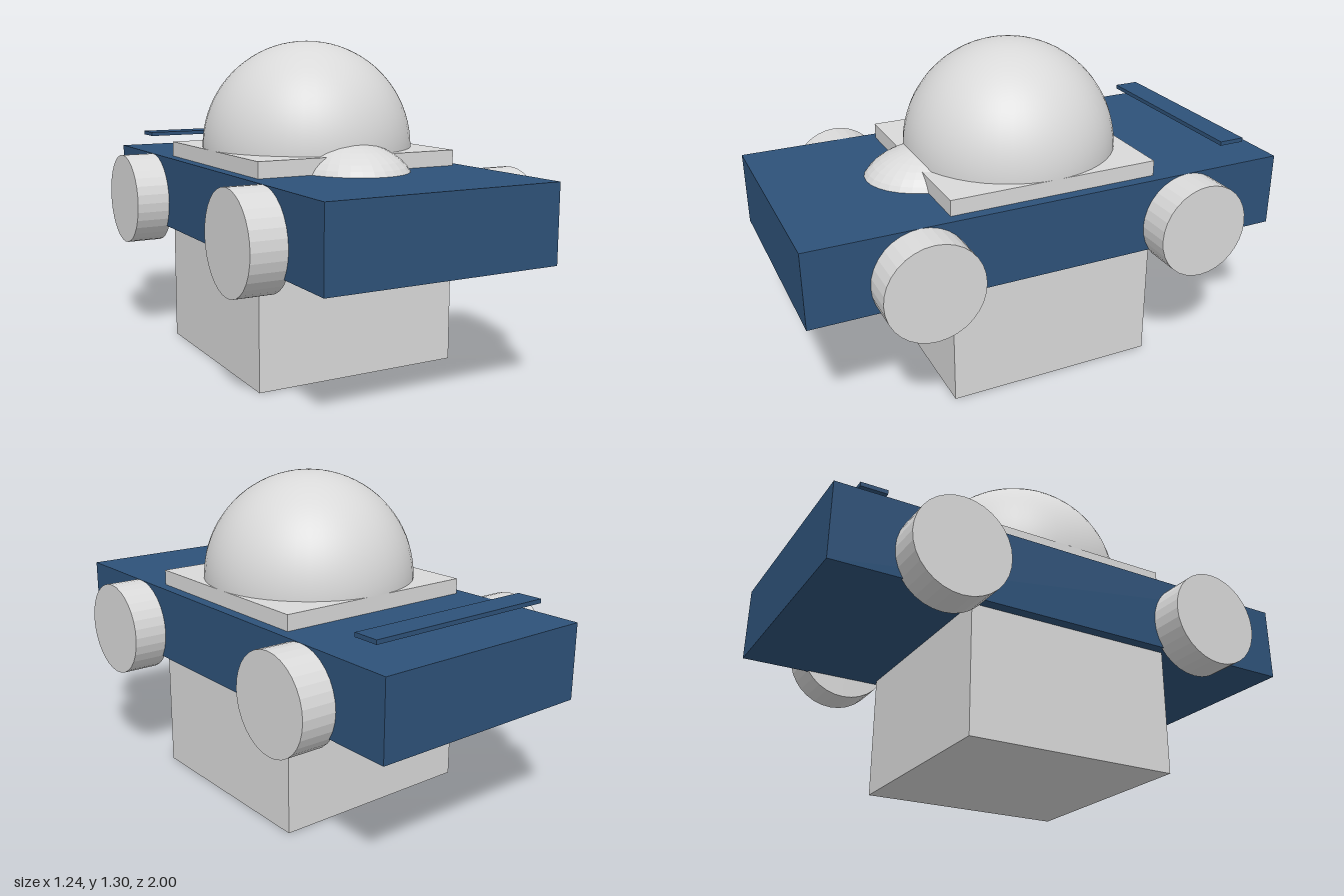
import * as THREE from 'three';

export function createModel() {
  const model = new THREE.Group();
  model.name = 'domedBuggy';

  const grey = new THREE.MeshStandardMaterial({ color: 0xd9d9d9 });
  grey.name = 'lightGrey';
  const navy = new THREE.MeshStandardMaterial({ color: 0x2e5279 });
  navy.name = 'navyBlue';

  const add = (name, geometry, material, x, y, z) => {
    const mesh = new THREE.Mesh(geometry, material);
    mesh.name = name;
    mesh.position.set(x, y, z);
    model.add(mesh);
    return mesh;
  };

  // Faceted copy of a geometry
  const faceted = (geometry) => {
    const g = geometry.toNonIndexed();
    g.computeVertexNormals();
    return g;
  };

  // Long flat hull
  add('hull', new THREE.BoxGeometry(0.956, 0.304, 2), navy, 0, 0.653, 0);

  // Cube core that passes through the hull, with a dome on top
  add('core', new THREE.BoxGeometry(0.866, 0.868, 0.866), grey, 0, 0.434, 0);
  add('dome', new THREE.SphereGeometry(0.434, 48, 20, 0, Math.PI * 2, 0, Math.PI / 2),
    grey, 0, 0.868, -0.002);

  // Low bulge in front of the dome
  const bulge = new THREE.SphereGeometry(1, 32, 20).scale(0.24, 0.165, 0.29);
  add('frontBulge', faceted(bulge), grey, 0, 0.75, 0.34);

  // Thin wing hovering over the tail
  add('rearWing', new THREE.BoxGeometry(0.82, 0.017, 0.108), navy, 0, 0.873, -0.826);

  // Four wheels
  const wheel = faceted(new THREE.CylinderGeometry(0.194, 0.194, 0.15, 32).rotateZ(Math.PI / 2));
  for (const [side, sx] of [['left', 1], ['right', -1]]) {
    for (const [end, sz] of [['Front', 1], ['Rear', -1]]) {
      add(`${side}${end}Wheel`, wheel, grey, sx * 0.543, 0.611, sz * 0.566);
    }
  }

  return model;
}
